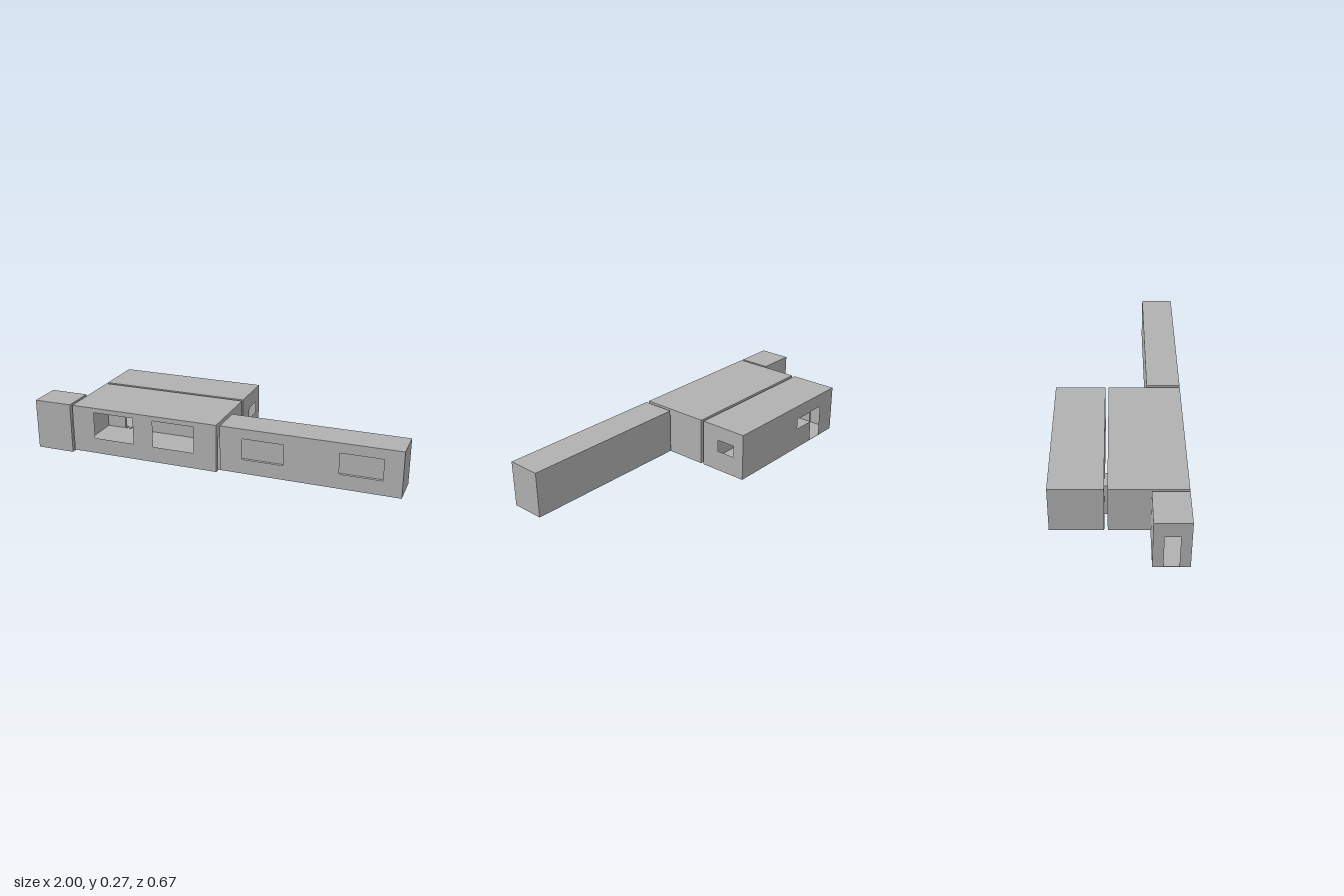
import * as THREE from 'three';

const concrete = new THREE.MeshStandardMaterial({ color: 0xb0b0b0, side: THREE.DoubleSide });
concrete.name = 'concrete grey';

// Flat panel in (u, v) with rectangular openings [u0, v0, u1, v1], placed by a mapping rule
function panel(name, [u0, v0, u1, v1], openings, place) {
  const shape = new THREE.Shape();
  shape.moveTo(u0, v0).lineTo(u1, v0).lineTo(u1, v1).lineTo(u0, v1).closePath();
  for (const [a, b, c, d] of openings) {
    const hole = new THREE.Path();
    hole.moveTo(a, b).lineTo(a, d).lineTo(c, d).lineTo(c, b).closePath();
    shape.holes.push(hole);
  }
  const geometry = new THREE.ShapeGeometry(shape);
  const p = geometry.attributes.position;
  for (let i = 0; i < p.count; i++) p.setXYZ(i, ...place(p.getX(i), p.getY(i)));
  geometry.computeVertexNormals();
  const mesh = new THREE.Mesh(geometry, concrete);
  mesh.name = name;
  return mesh;
}

// Hollow box of thin panels; a side set to null is left out
function room(name, [x0, y0, z0], [x1, y1, z1], openings = {}) {
  const group = new THREE.Group();
  group.name = name;
  // u is mirrored where needed so that every panel faces outwards
  const flip = (list) => list.map(([a, b, c, d]) => [-c, b, -a, d]);
  const sides = {
    front: [[x0, y0, x1, y1], false, (u, v) => [u, v, z1]],
    back: [[x0, y0, x1, y1], true, (u, v) => [-u, v, z0]],
    left: [[z0, y0, z1, y1], true, (u, v) => [x1, v, -u]],
    right: [[z0, y0, z1, y1], false, (u, v) => [x0, v, u]],
    roof: [[x0, z0, x1, z1], true, (u, v) => [-u, y1, v]],
    floor: [[x0, z0, x1, z1], false, (u, v) => [u, y0, v]],
  };
  for (const [side, [rect, mirrored, place]] of Object.entries(sides)) {
    if (openings[side] === null) continue;
    const holes = openings[side] || [];
    group.add(panel(side + 'Panel', mirrored ? flip([rect])[0] : rect, mirrored ? flip(holes) : holes, place));
  }
  return group;
}

export function createModel() {
  const model = new THREE.Group();
  model.name = 'modularHouse';
  const top = 0.273;

  // Passage openings shared by neighbouring rooms
  const entryPass = [0.175, 0.008, 0.315, 0.19];
  const wingPass = [0.175, 0.023, 0.315, 0.205];
  const backPass = [-0.665, 0.018, -0.568, 0.197];
  // The part of the entry passage that lies above the main floor
  const entryPassMain = [0.175, 0.018, 0.315, 0.19];
  const wingPassHigh = [0.175, 0.033, 0.315, 0.205];

  // Entrance room with an outside door
  model.add(room('entranceRoom', [-1, 0, 0.155], [-0.79, top, 0.333], {
    right: [[0.207, 0.002, 0.281, 0.19]],
    left: [entryPass],
  }));

  // Main room with two large front windows
  model.add(room('mainRoom', [-0.775, 0.016, -0.05], [0.05, top, 0.333], {
    front: [[-0.647, 0.102, -0.418, 0.247], [-0.305, 0.102, -0.075, 0.247]],
    back: [backPass],
    right: [entryPassMain],
    left: [wingPass],
  }));

  // Back room with a back door, a small window beside it and a side window
  model.add(room('backRoom', [-0.775, 0.016, -0.333], [0.05, top, -0.067], {
    front: [backPass],
    back: [[-0.653, 0.018, -0.565, 0.197], [-0.55, 0.135, -0.436, 0.193]],
    left: [[-0.272, 0.128, -0.168, 0.193]],
  }));

  // Long wing with two front windows
  model.add(room('longWing', [0.07, 0.031, 0.155], [1, top, 0.333], {
    front: [[0.19, 0.109, 0.405, 0.22], [0.69, 0.109, 0.905, 0.22]],
    right: [wingPassHigh],
  }));

  // Short open passages joining the rooms
  const alongX = { left: null, right: null };
  model.add(room('entrancePassage', [-0.79, 0.008, 0.175], [-0.775, 0.19, 0.315], alongX));
  model.add(room('wingPassage', [0.05, 0.023, 0.175], [0.07, 0.205, 0.315], alongX));
  model.add(room('backPassage', [-0.665, 0.016, -0.067], [-0.568, 0.197, -0.05], { front: null, back: null }));

  return model;
}
